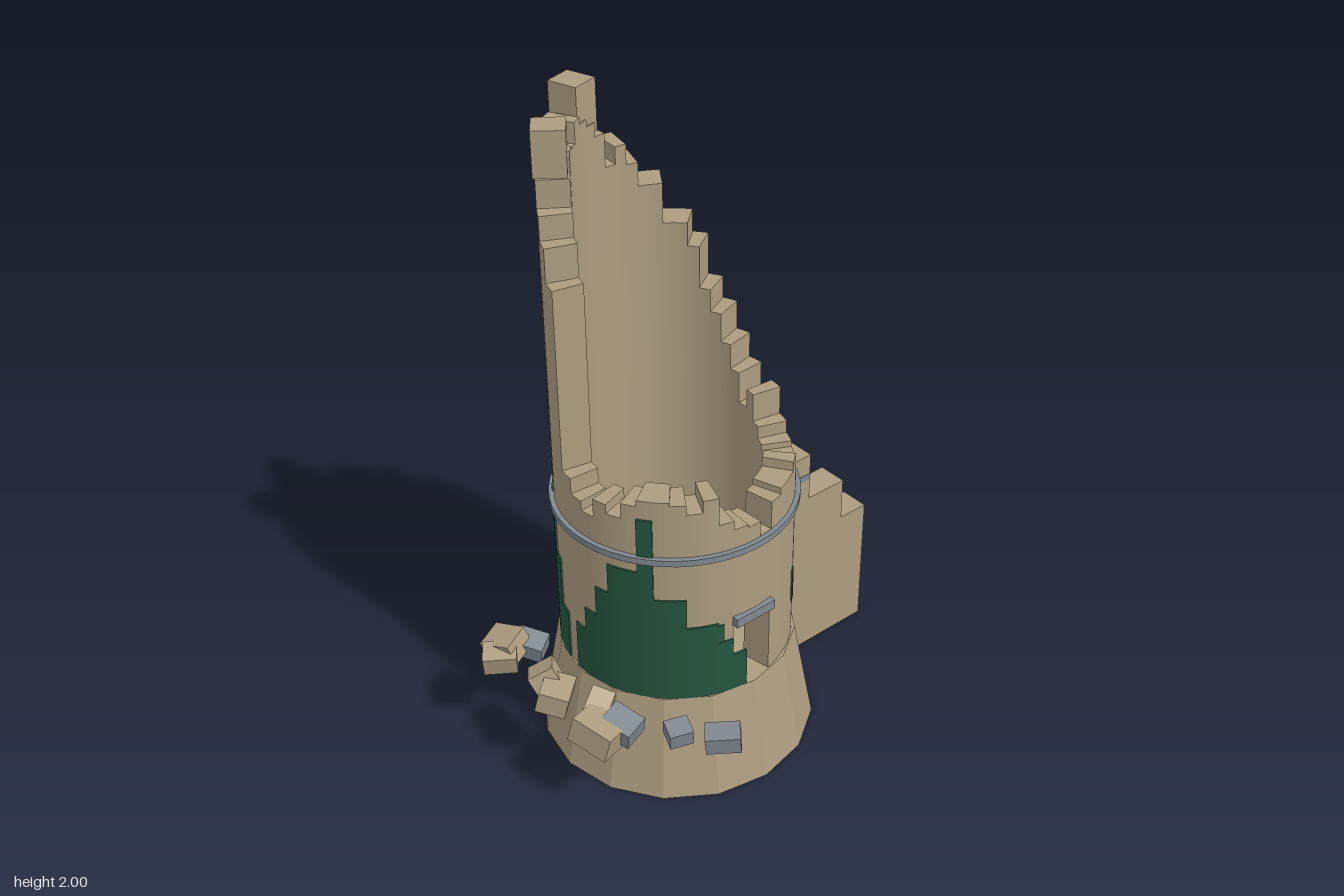
import * as THREE from 'three';
import { mergeGeometries, toCreasedNormals } from 'three/addons/utils/BufferGeometryUtils.js';

const CX = -0.098, CZ = -0.052;          // tower axis
const R_OUT = 0.346, R_IN = 0.256;       // wall radii
const FLOOR = 0.333;
const STEP = 7.5;                        // width of one wall stave in degrees
const rad = THREE.MathUtils.degToRad;

// Upright block following an arc; angles run from +z towards +x
function arcBlock(r0, r1, a0, a1, y0, y1, n = 3) {
  const pts = [];
  const put = (r, a) => pts.push(new THREE.Vector2(r * Math.sin(rad(a)), -r * Math.cos(rad(a))));
  for (let i = 0; i <= n; i++) put(r1, a0 + (a1 - a0) * i / n);
  for (let i = n; i >= 0; i--) put(r0, a0 + (a1 - a0) * i / n);
  const g = new THREE.ExtrudeGeometry(new THREE.Shape(pts), { depth: y1 - y0, bevelEnabled: false });
  return g.rotateX(-Math.PI / 2).translate(0, y0, 0);
}

export function createModel() {
  const model = new THREE.Group();
  const tower = new THREE.Group();
  tower.name = 'tower';
  tower.position.set(CX, 0, CZ);
  model.add(tower);

  const mat = (name, color) => {
    const m = new THREE.MeshStandardMaterial({ color });
    m.name = name;
    return m;
  };
  const stone = mat('sandstone', 0xad9d80);
  const slate = mat('slate grey', 0x808890);
  const ivy = mat('dark green', 0x25553f);

  const add = (parent, name, geo, material) => {
    const mesh = new THREE.Mesh(geo, material);
    mesh.name = name;
    parent.add(mesh);
    return mesh;
  };
  const box = (w, h, d) => new THREE.BoxGeometry(w, h, d);

  // Sixteen-sided battered base
  const base = new THREE.CylinderGeometry(0.357, 0.418, FLOOR, 16).toNonIndexed();
  base.computeVertexNormals();
  add(tower, 'base', base.translate(0, FLOOR / 2, 0), stone);

  // Broken wall: one stave per height, starting at the front
  const heights = [
    0.89, 0.84, 0.93, 0.95, 0.95, 0.98, 0.88, 0.86, 0.91, 0.93, 0.97, 1.06,
    1.00, 1.10, 1.18, 1.27, 1.34, 1.47, 1.54, 1.54, 1.66, 1.66, 1.73, 1.79,
    1.74, 1.84, 1.88, 1.90, 1.92, 1.86, 1.87, 1.81, 1.73, 1.66, 1.56, 1.00,
    0.95, 0.92, 0.98, 0.95, 1.00, 1.02, 1.02, 1.01, 0.98, 1.02, 0.93, 0.90,
  ];
  const staves = heights.map((h, i) => {
    const isDoor = i <= 1 || i === heights.length - 1;
    return arcBlock(R_IN, R_OUT, (i - 0.5) * STEP, (i + 0.5) * STEP, isDoor ? 0.57 : FLOOR, h);
  });
  add(tower, 'brokenWall', mergeGeometries(staves), stone);

  // Surviving battlement blocks at the top
  for (const [a, y, h] of [[197, 1.925, 0.15], [233, 1.89, 0.13]]) {
    const m = add(tower, 'battlement', box(0.085, h, 0.09), stone);
    m.position.set(0.305 * Math.sin(rad(a)), y, 0.305 * Math.cos(rad(a)));
    m.rotation.y = rad(a);
  }

  // Projecting string course
  const ring = [[0.34, 0.818], [0.361, 0.818], [0.361, 0.838], [0.34, 0.838], [0.34, 0.818]]
    .map(p => new THREE.Vector2(...p));
  add(tower, 'stringCourse', toCreasedNormals(new THREE.LatheGeometry(ring, 48), 0.6), slate);

  // Door lintel
  add(tower, 'doorLintel', box(0.14, 0.03, 0.06), slate).position.set(0, 0.583, 0.33);

  // Ivy: stepped strips hugging the wall [start angle, strip width, tops]
  const patches = [
    [266, 7.5, [0.50, 0.58, 0.68, 0.78, 0.78, 0.96, 0.69, 0.69, 0.59, 0.59, 0.52, 0.46]],
    [198, 7.5, [0.52, 0.68, 0.83, 1.25, 0.85, 0.83, 0.66, 0.50]],
    [91, 6.5, [0.53, 0.53, 0.66, 0.54, 0.47, 0.37]],
  ];
  for (const [start, w, tops] of patches) {
    const strips = tops.map((t, i) =>
      arcBlock(R_OUT - 0.003, R_OUT + 0.005, start + i * w, start + (i + 1) * w, FLOOR, t));
    add(tower, 'ivyPatch', mergeGeometries(strips), ivy);
  }

  // Arrow slits [angle, centre height]
  const slits = [[39, 0.525], [342, 0.525], [168, 0.525], [118, 1.06], [168, 1.06],
    [226, 1.06], [168, 1.45], [226, 1.47]];
  for (const [a, y] of slits) {
    add(tower, 'arrowSlit', arcBlock(R_OUT - 0.003, R_OUT + 0.004, a - 1.8, a + 1.8, y - 0.056, y + 0.056), ivy);
  }

  // Stepped remains of the side wall [x from, x to, height]
  const side = new THREE.Group();
  side.name = 'sideWall';
  model.add(side);
  for (const [x0, x1, h] of [[0.2, 0.393, 0.745], [0.393, 0.537, 0.583], [0.537, 0.64, 0.44]]) {
    add(side, 'sideWallStep', box(x1 - x0, h, 0.094), stone).position.set((x0 + x1) / 2, h / 2, -0.052);
  }
  add(side, 'sideWallBand', box(0.19, 0.02, 0.099), slate).position.set(0.297, 0.667, -0.052);

  // Fallen blocks [x, y, z, width, height, depth, rx, ry, rz, material]
  const rocks = [
    [-0.59, 0.31, -0.275, 0.10, 0.07, 0.07, 0.3, -0.6, 0.2, stone],
    [-0.55, 0.325, -0.30, 0.09, 0.07, 0.11, -0.3, 0.3, 0.3, stone],
    [-0.485, 0.31, -0.265, 0.07, 0.06, 0.09, 0.2, 0.6, 0.1, slate],
    [-0.555, 0.305, -0.045, 0.11, 0.07, 0.09, 0.3, 0.7, -0.2, stone],
    [-0.545, 0.325, -0.11, 0.08, 0.06, 0.08, -0.3, -0.6, 0.3, stone],
    [-0.555, 0.305, 0.16, 0.10, 0.08, 0.13, 0.2, 0.3, -0.2, stone],
    [-0.50, 0.325, 0.09, 0.08, 0.06, 0.07, 0.3, 0.6, 0.2, stone],
    [-0.49, 0.31, 0.185, 0.08, 0.06, 0.10, 0.2, 0.3, 0.1, slate],
    [-0.388, 0.312, 0.312, 0.07, 0.05, 0.065, 0.15, -0.35, 0.1, slate],
    [-0.305, 0.31, 0.408, 0.10, 0.055, 0.07, 0.1, -0.7, 0.15, slate],
  ];
  for (const [x, y, z, w, h, d, rx, ry, rz, m] of rocks) {
    const rock = add(model, 'fallenBlock', box(w, h, d), m);
    rock.position.set(x, y, z);
    rock.rotation.set(rx, ry, rz);
  }
  return model;
}
